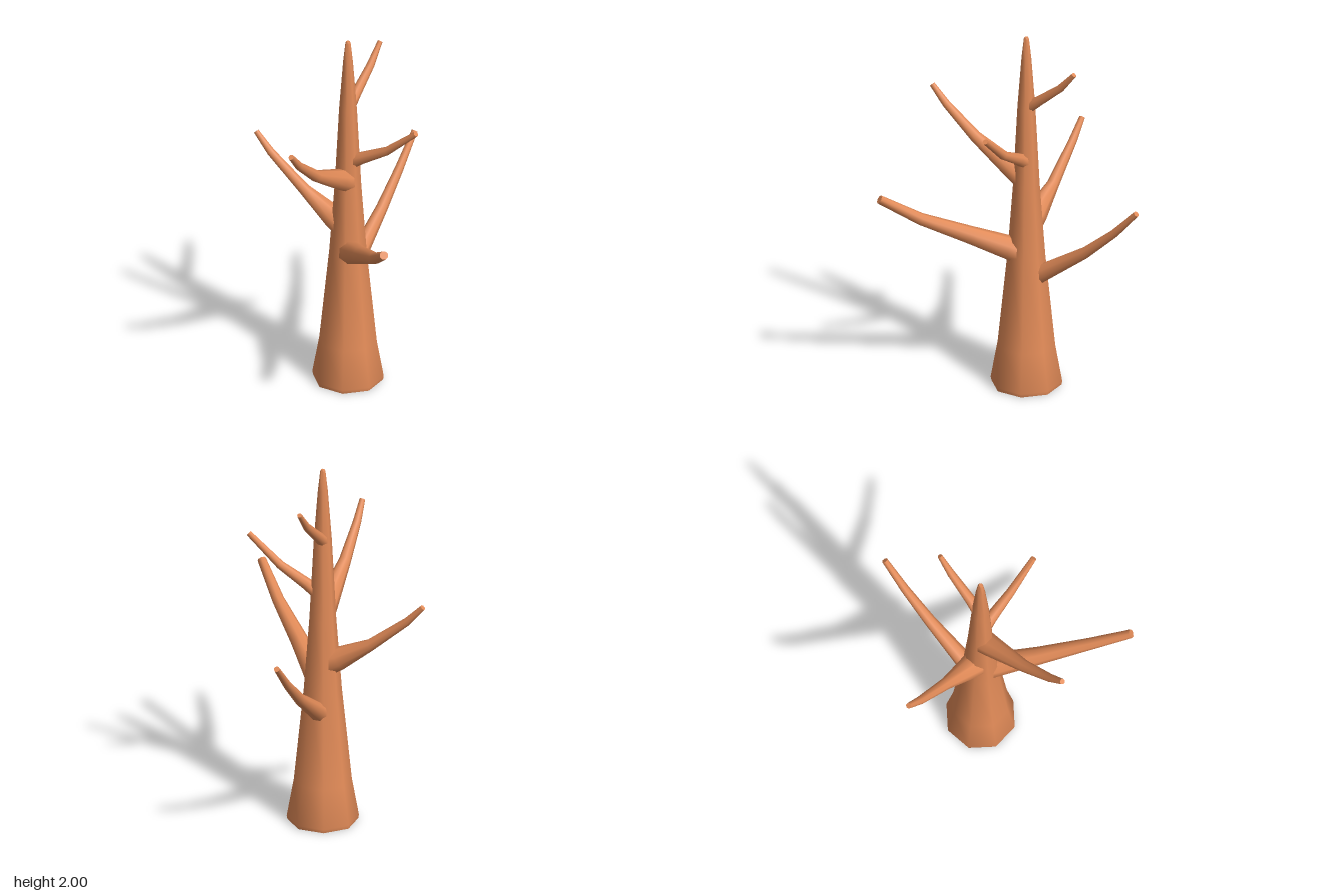
import * as THREE from 'three';
import { toCreasedNormals } from 'three/addons/utils/BufferGeometryUtils.js';

const SIDES = 8;
const CREASE = THREE.MathUtils.degToRad(55);
const bark = new THREE.MeshStandardMaterial({ color: 0xe28b58 });

// Tapered limb: one ring per [x, y, z, radius] station, closed at both ends
function limbGeometry(stations) {
  const centres = stations.map(([x, y, z]) => new THREE.Vector3(x, y, z));
  const last = centres.length - 1;
  const positions = [], index = [];
  centres.forEach((c, i) => {
    const dir = centres[Math.min(i + 1, last)].clone().sub(centres[Math.max(i - 1, 0)]).normalize();
    const side = new THREE.Vector3(0, 1, 0).cross(dir).normalize();
    const up = dir.clone().cross(side);
    for (let k = 0; k < SIDES; k++) {
      const a = ((k + 0.5) / SIDES) * Math.PI * 2;
      const p = c.clone()
        .addScaledVector(side, Math.cos(a) * stations[i][3])
        .addScaledVector(up, Math.sin(a) * stations[i][3]);
      positions.push(p.x, p.y, p.z);
    }
  });
  for (let i = 0; i < last; i++) {
    for (let k = 0; k < SIDES; k++) {
      const n = (k + 1) % SIDES;
      const a = i * SIDES + k, b = i * SIDES + n;
      index.push(a, b, b + SIDES, a, b + SIDES, a + SIDES);
    }
  }
  const end = last * SIDES;
  for (let k = 1; k < SIDES - 1; k++) {
    index.push(0, k + 1, k, end, end + k, end + k + 1);
  }
  const geometry = new THREE.BufferGeometry();
  geometry.setAttribute('position', new THREE.Float32BufferAttribute(positions, 3));
  geometry.setIndex(index);
  return toCreasedNormals(geometry, CREASE);
}

export function createModel() {
  const tree = new THREE.Group();
  tree.name = 'bareTree';

  const add = (name, geometry) => {
    const mesh = new THREE.Mesh(geometry, bark);
    mesh.name = name;
    tree.add(mesh);
    return mesh;
  };

  // Trunk: flared foot, long taper, blunt tip
  const profile = [
    [0, 0], [0.184, 0], [0.188, 0.02], [0.151, 0.23], [0.099, 0.75],
    [0.07, 1.15], [0.047, 1.6], [0.026, 1.88], [0.014, 1.99], [0.01, 2], [0, 2],
  ].map(([r, y]) => new THREE.Vector2(r, y));
  const trunk = new THREE.LatheGeometry(profile, SIDES, THREE.MathUtils.degToRad(29));
  add('trunk', toCreasedNormals(trunk, CREASE)).position.set(-0.035, 0, 0.05);

  // Branches: from inside the trunk out to a flat-cut tip
  const branches = {
    frontLeftBranch: [
      [-0.03, 0.755, 0.055, 0.072], [0.05, 0.80, 0.12, 0.062], [0.2, 0.89, 0.24, 0.047],
      [0.41, 1.015, 0.4, 0.032], [0.58, 1.152, 0.54, 0.023],
    ],
    rightBranch: [
      [-0.05, 0.895, 0.055, 0.072], [-0.13, 0.935, 0.062, 0.062], [-0.3, 1.04, 0.078, 0.032],
      [-0.5, 1.205, 0.104, 0.022], [-0.59, 1.302, 0.113, 0.015],
    ],
    frontBranch: [
      [-0.033, 1.18, 0.06, 0.065], [-0.025, 1.22, 0.14, 0.056], [-0.003, 1.345, 0.36, 0.032],
      [0.018, 1.49, 0.535, 0.022], [0.03, 1.583, 0.618, 0.015],
    ],
    backBranch: [
      [-0.045, 0.62, 0.02, 0.06], [-0.055, 0.675, -0.07, 0.046], [-0.082, 0.838, -0.3, 0.031],
      [-0.1, 0.99, -0.47, 0.023], [-0.112, 1.145, -0.615, 0.016],
    ],
    leftBranch: [
      [-0.02, 1.29, 0.045, 0.042], [0.05, 1.33, 0.038, 0.032],
      [0.2, 1.415, 0.022, 0.023], [0.375, 1.567, 0.003, 0.015],
    ],
    upperBackBranch: [
      [-0.04, 1.6, 0.04, 0.036], [-0.043, 1.645, -0.02, 0.028],
      [-0.05, 1.76, -0.16, 0.021], [-0.054, 1.863, -0.248, 0.013],
    ],
  };
  for (const [name, stations] of Object.entries(branches)) add(name, limbGeometry(stations));

  return tree;
}
